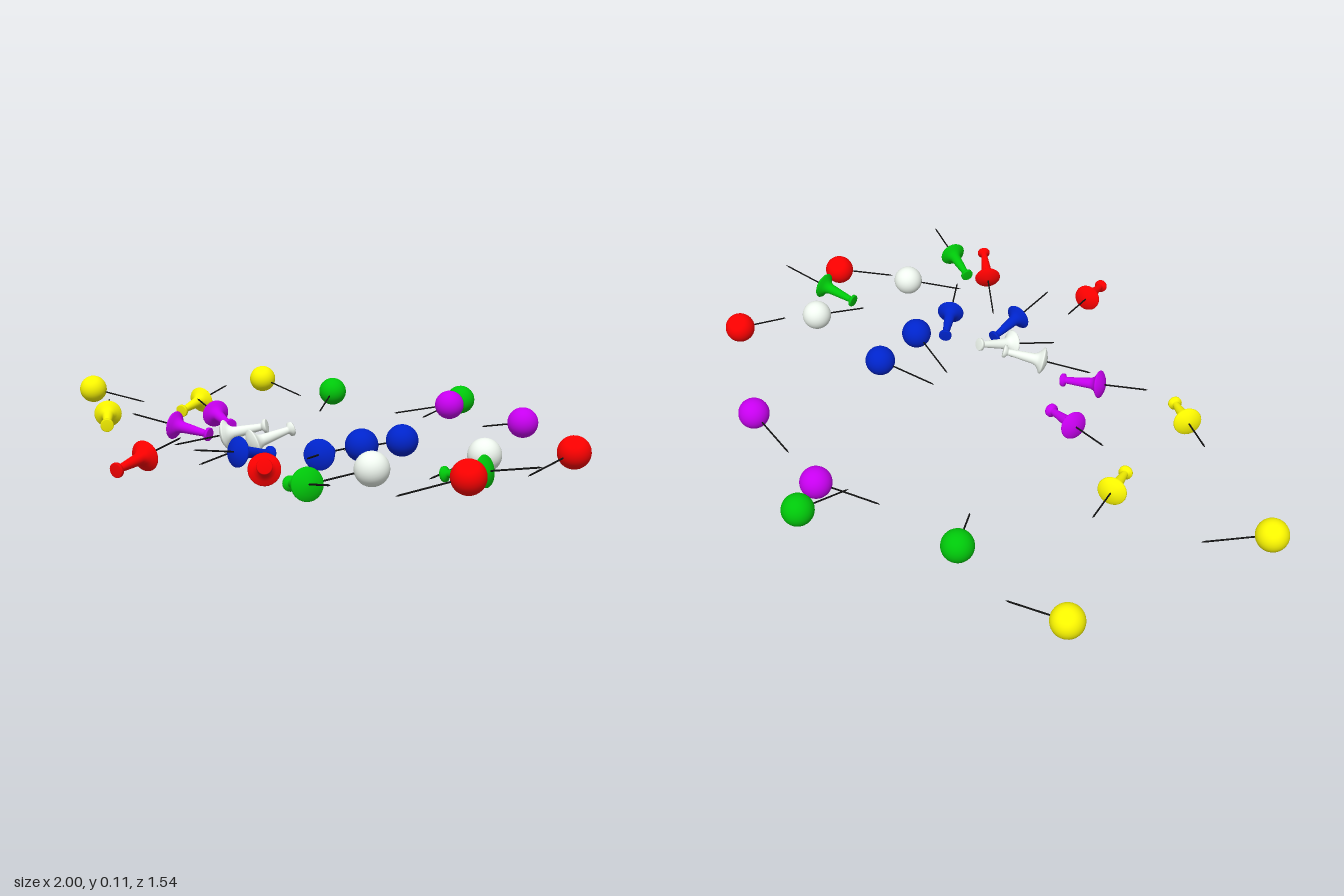
import * as THREE from 'three';

const UP = new THREE.Vector3(0, 1, 0);
const mat = (color) => new THREE.MeshStandardMaterial({ color });
const MATS = {
  yellow: mat(0xfcf800), green: mat(0x00c80a), purple: mat(0xc800f0),
  red: mat(0xff0000), blue: mat(0x0024cc), white: mat(0xf0f8f0),
};
const STEEL = mat(0x111111);

// Ball pins: colour, head x, z, tip x, z, head height, tip height
const BALL_PINS = [
  ['yellow', -0.957, -0.092, -0.798, -0.182, 0.06, 0.02],
  ['yellow', -0.692, -0.668, -0.5, -0.658, 0.06, 0.016],
  ['green', -0.308, -0.597, -0.227, -0.43, 0.058, 0.016],
  ['green', 0.128, -0.725, 0.106, -0.542, 0.058, 0.018],
  ['purple', 0.165, -0.608, -0.01, -0.546, 0.058, 0.02],
  ['purple', 0.526, -0.466, 0.349, -0.516, 0.058, 0.02],
  ['red', 0.882, -0.146, 0.849, 0.03, 0.058, 0.016],
  ['white', 0.73, 0.05, 0.678, 0.226, 0.06, 0.016],
  ['blue', 0.406, -0.028, 0.229, 0.014, 0.05, 0.005],
  ['blue', 0.4, 0.148, 0.229, 0.081, 0.06, 0.01],
  ['red', 0.858, 0.315, 0.734, 0.446, 0.06, 0.016],
  ['white', 0.623, 0.392, 0.488, 0.507, 0.061, 0.016],
];

// Push pins: colour, cap x, z, tip x, z, cap height, tip height
const PUSH_PINS = [
  ['yellow', -0.492, -0.053, -0.551, -0.33, 0.035, 0.085],
  ['yellow', -0.441, 0.311, -0.644, 0.118, 0.04, 0.08],
  ['purple', -0.16, 0.068, -0.412, -0.046, 0.04, 0.085],
  ['purple', -0.102, 0.218, -0.373, 0.271, 0.04, 0.08],
  ['white', 0.096, 0.191, -0.141, 0.326, 0.085, 0.02],
  ['white', 0.179, 0.177, 0.058, 0.429, 0.085, 0.003],
  ['blue', 0.332, 0.207, 0.462, 0.451, 0.042, 0.075],
  ['blue', 0.208, 0.298, 0.181, 0.574, 0.035, 0.08],
  ['red', 0.091, 0.762, 0.047, 0.482, 0.042, 0.085],
  ['red', 0.498, 0.652, 0.307, 0.439, 0.09, 0.015],
  ['green', 0.503, 0.565, 0.74, 0.698, 0.035, 0.085],
  ['green', 0.715, 0.217, 0.995, 0.201, 0.033, 0.085],
];

// Push pin outline [radius, distance from the flange towards the cap]
const CAP_END = 0.126;
const PUSH_PROFILE = [
  [0, -0.014], [0.012, -0.013], [0.028, -0.008], [0.04, -0.001], [0.042, 0.002], [0.04, 0.005],
  [0.03, 0.011], [0.021, 0.019], [0.0165, 0.03], [0.0135, 0.068], [0.01, 0.108], [0.011, 0.112],
  [0.02, 0.117], [0.02, 0.124], [0.018, CAP_END], [0, CAP_END],
].map(([r, y]) => new THREE.Vector2(r, y));

const ballGeometry = new THREE.SphereGeometry(0.0455, 32, 20);
const pushGeometry = new THREE.LatheGeometry(PUSH_PROFILE, 32);

function addMesh(parent, name, geometry, material) {
  const mesh = new THREE.Mesh(geometry, material);
  mesh.name = name;
  parent.add(mesh);
  return mesh;
}

// Thin shaft from the head down to a sharp point at y = -length
function addNeedle(pin, length) {
  const point = 0.012;
  const shaft = addMesh(pin, 'needleShaft', new THREE.CylinderGeometry(0.0024, 0.0024, length - point, 10), STEEL);
  shaft.position.y = -(length - point) / 2;
  const tip = addMesh(pin, 'needlePoint', new THREE.CylinderGeometry(0.0024, 0, point, 10), STEEL);
  tip.position.y = -length + point / 2;
}

// Lays a pin so its local +y runs from the tip to the head end
function makePin(name, [color, hx, hz, tx, tz, hy, ty], headName, geometry, headOffset) {
  const end = new THREE.Vector3(hx, hy, hz);
  const tip = new THREE.Vector3(tx, ty, tz);
  const dir = end.clone().sub(tip);
  const length = dir.length() - headOffset;
  dir.normalize();
  const pin = new THREE.Group();
  pin.name = name;
  pin.position.copy(end).addScaledVector(dir, -headOffset);
  pin.quaternion.setFromUnitVectors(UP, dir);
  addMesh(pin, headName, geometry, MATS[color]);
  addNeedle(pin, length);
  return pin;
}

export function createModel() {
  const model = new THREE.Group();
  model.name = 'scatteredPins';
  BALL_PINS.forEach((p) => model.add(makePin('ballPin', p, 'ballHead', ballGeometry, 0)));
  PUSH_PINS.forEach((p) => model.add(makePin('pushPin', p, 'pushPinHandle', pushGeometry, CAP_END)));
  return model;
}
